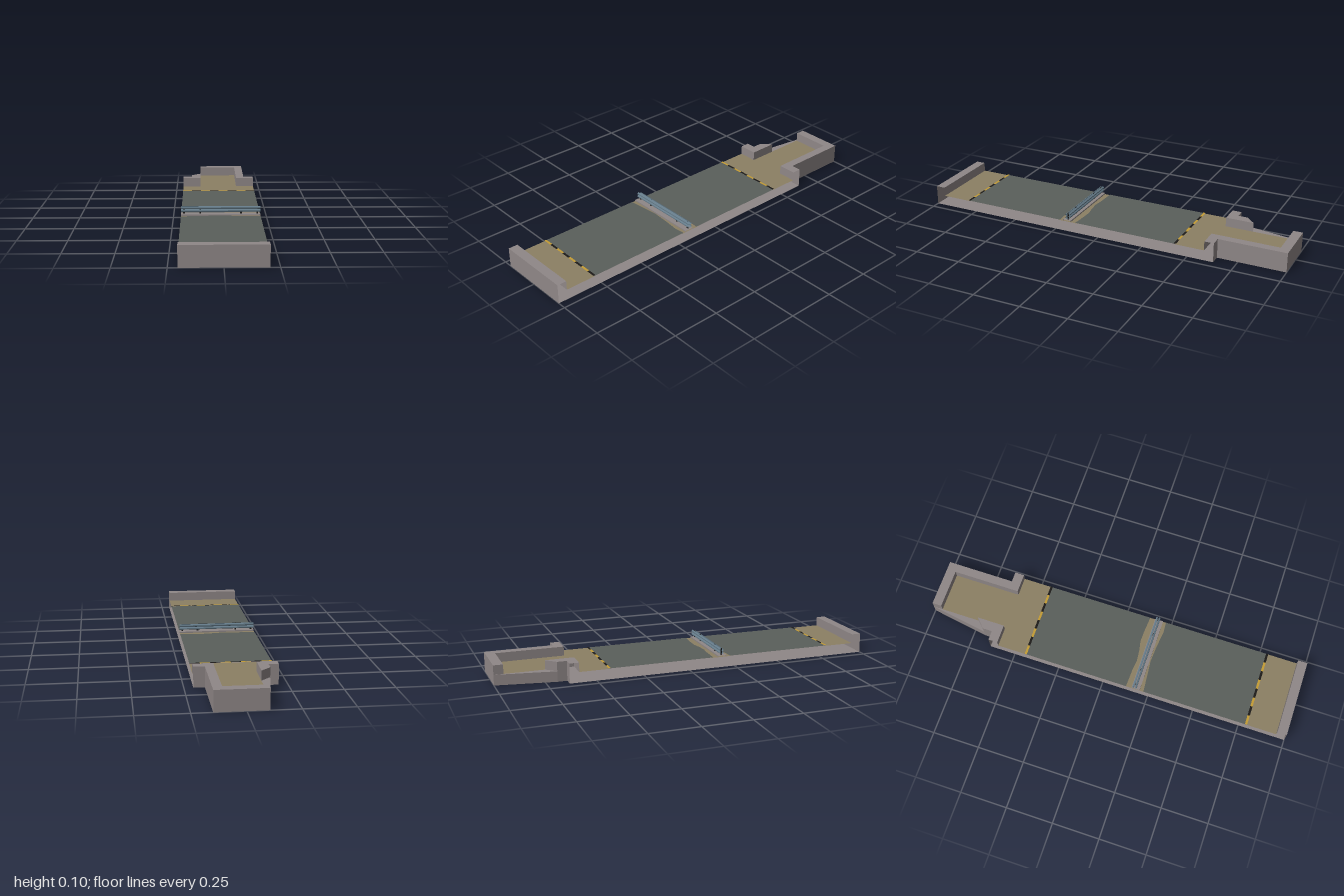
import * as THREE from 'three';

const paint = (name, color) => {
  const m = new THREE.MeshStandardMaterial({ color, side: THREE.DoubleSide });
  m.name = name;
  return m;
};

export function createModel() {
  const concrete = paint('concrete', 0x8f8787);
  const sand = paint('sand', 0x8c8064);
  const asphalt = paint('asphalt', 0x5a5f5b);
  const steel = paint('steel', 0x647a88);
  const yellow = paint('yellow', 0xc49c34);
  const black = paint('black', 0x1c1a18);

  const W = 0.205, FLOOR = 0.055, ROAD = 0.057, TOP = 0.104;
  const model = new THREE.Group();
  model.name = 'roadSection';

  const add = (name, geometry, material, parent = model) => {
    const mesh = new THREE.Mesh(geometry, material);
    mesh.name = name;
    parent.add(mesh);
    return mesh;
  };

  // Horizontal sheet from [x, z] corners
  const sheet = (name, corners, y, material, parent) => {
    const shape = new THREE.Shape(corners.map(([x, z]) => new THREE.Vector2(x, -z)));
    const g = new THREE.ShapeGeometry(shape);
    g.rotateX(-Math.PI / 2);
    g.translate(0, y, 0);
    return add(name, g, material, parent);
  };
  const rect = (x0, x1, z0, z1) => [[x0, z0], [x0, z1], [x1, z1], [x1, z0]];

  // Upright faces along an [x, z] path
  const wall = (name, path, y0, y1, material = concrete) => {
    const pos = [];
    for (let i = 0; i + 1 < path.length; i++) {
      const [ax, az] = path[i], [bx, bz] = path[i + 1];
      pos.push(ax, y0, az, bx, y0, bz, bx, y1, bz, ax, y0, az, bx, y1, bz, ax, y1, az);
    }
    const g = new THREE.BufferGeometry();
    g.setAttribute('position', new THREE.Float32BufferAttribute(pos, 3));
    g.computeVertexNormals();
    return add(name, g, material);
  };

  // Folded strip running across the road from a [z, y] profile
  const strip = (name, profile, material, parent) => {
    const pos = [];
    for (let i = 0; i + 1 < profile.length; i++) {
      const [az, ay] = profile[i], [bz, by] = profile[i + 1];
      pos.push(-W, ay, az, W, ay, az, W, by, bz, -W, ay, az, W, by, bz, -W, by, bz);
    }
    const g = new THREE.BufferGeometry();
    g.setAttribute('position', new THREE.Float32BufferAttribute(pos, 3));
    g.computeVertexNormals();
    return add(name, g, material, parent);
  };

  // Base underside
  sheet('underside', [
    [-W, 1], [W, 1], [W, -0.64], [0.15, -0.64], [0.15, -1],
    [-0.105, -1], [-0.155, -0.69], [-0.155, -0.64], [-W, -0.64],
  ], 0, concrete);

  // Front parapet, open at both ends
  strip('frontParapet', [[1, 0], [1, TOP], [0.95, TOP], [0.95, FLOOR]], concrete);

  // Sandy ground
  sheet('frontSand', rect(-W, W, 0.787, 0.95), FLOOR, sand);
  sheet('medianSand', rect(-W, W, 0.12, 0.23), FLOOR, sand);
  sheet('rearSand', [
    [-W, -0.433], [W, -0.433], [W, -0.59], [0.105, -0.59],
    [0.105, -0.95], [-0.105, -0.95], [-0.105, -0.59], [-W, -0.59],
  ], FLOOR, sand);

  // Carriageways with ragged inner edges
  const frontEdge = [[-W, 0.226], [-0.1, 0.217], [-0.03, 0.21], [0.05, 0.215], [0.15, 0.226], [W, 0.221]];
  const rearEdge = [[-W, 0.13], [-0.1, 0.134], [-0.05, 0.14], [0.01, 0.134], [0.06, 0.124], [0.12, 0.126], [W, 0.133]];
  sheet('frontCarriageway', [...frontEdge, [W, 0.787], [-W, 0.787]], ROAD, asphalt);
  sheet('rearCarriageway', [...rearEdge, [W, -0.433], [-W, -0.433]], ROAD, asphalt);

  // Hazard stripes at the outer road edges
  for (const z of [0.787, -0.433]) {
    const step = W / 4;
    for (let i = 0; i < 8; i++) {
      const x = -W + i * step;
      sheet('hazardStripe', rect(x, x + step, z - 0.006, z + 0.006), ROAD + 0.002, i % 2 ? black : yellow);
    }
  }

  // Median kerb
  strip('medianKerb', [[0.205, FLOOR], [0.205, 0.062], [0.16, 0.062], [0.16, FLOOR]], concrete);

  // Guard rail: two ribbed beams back to back on thin posts
  const guardRail = new THREE.Group();
  guardRail.name = 'guardRail';
  model.add(guardRail);
  const ribs = [[0.003, 0.07], [0.011, 0.074], [0.011, 0.08], [0.004, 0.085], [0.011, 0.09], [0.011, 0.096], [0.003, 0.1]];
  for (const side of [-1, 1]) {
    strip('railBeam', ribs.map(([d, y]) => [0.177 + side * d, y]), steel, guardRail);
  }
  for (const x of [-0.19, -0.105, 0.105, 0.19]) {
    const post = add('railPost', new THREE.BoxGeometry(0.009, 0.038, 0.004), black, guardRail);
    post.position.set(x, 0.08, 0.18);
  }

  // Rear walls: outer faces, inner faces and caps
  wall('rightOuterWall', [[W, -0.64], [0.15, -0.64], [0.15, -1], [-0.105, -1]], 0, TOP);
  wall('rightInnerWall', [[W, -0.59], [0.105, -0.59], [0.105, -0.95], [-0.105, -0.95]], FLOOR, TOP);
  wall('rearWallEnd', [[-0.105, -1], [-0.105, -0.95]], FLOOR, TOP);
  sheet('rearWallCap', [
    [W, -0.59], [W, -0.64], [0.15, -0.64], [0.15, -1],
    [-0.105, -1], [-0.105, -0.95], [0.105, -0.95], [0.105, -0.59],
  ], TOP, concrete);

  // Broken corner block and the low slanted edge behind it
  wall('brokenOuterWall', [[-W, -0.64], [-0.155, -0.64], [-0.155, -0.69]], 0, TOP);
  wall('brokenInnerWall', [[-W, -0.59], [-0.105, -0.59], [-0.105, -0.74]], FLOOR, TOP);
  wall('brokenFace', [[-0.155, -0.69], [-0.105, -0.74]], FLOOR, TOP);
  sheet('brokenCap', [
    [-W, -0.59], [-0.105, -0.59], [-0.105, -0.74],
    [-0.155, -0.69], [-0.155, -0.64], [-W, -0.64],
  ], TOP, concrete);
  wall('slantedEdge', [[-0.155, -0.69], [-0.105, -1]], 0, FLOOR);
  sheet('slantedLedge', [[-0.155, -0.69], [-0.105, -0.74], [-0.105, -1]], FLOOR, concrete);

  return model;
}
